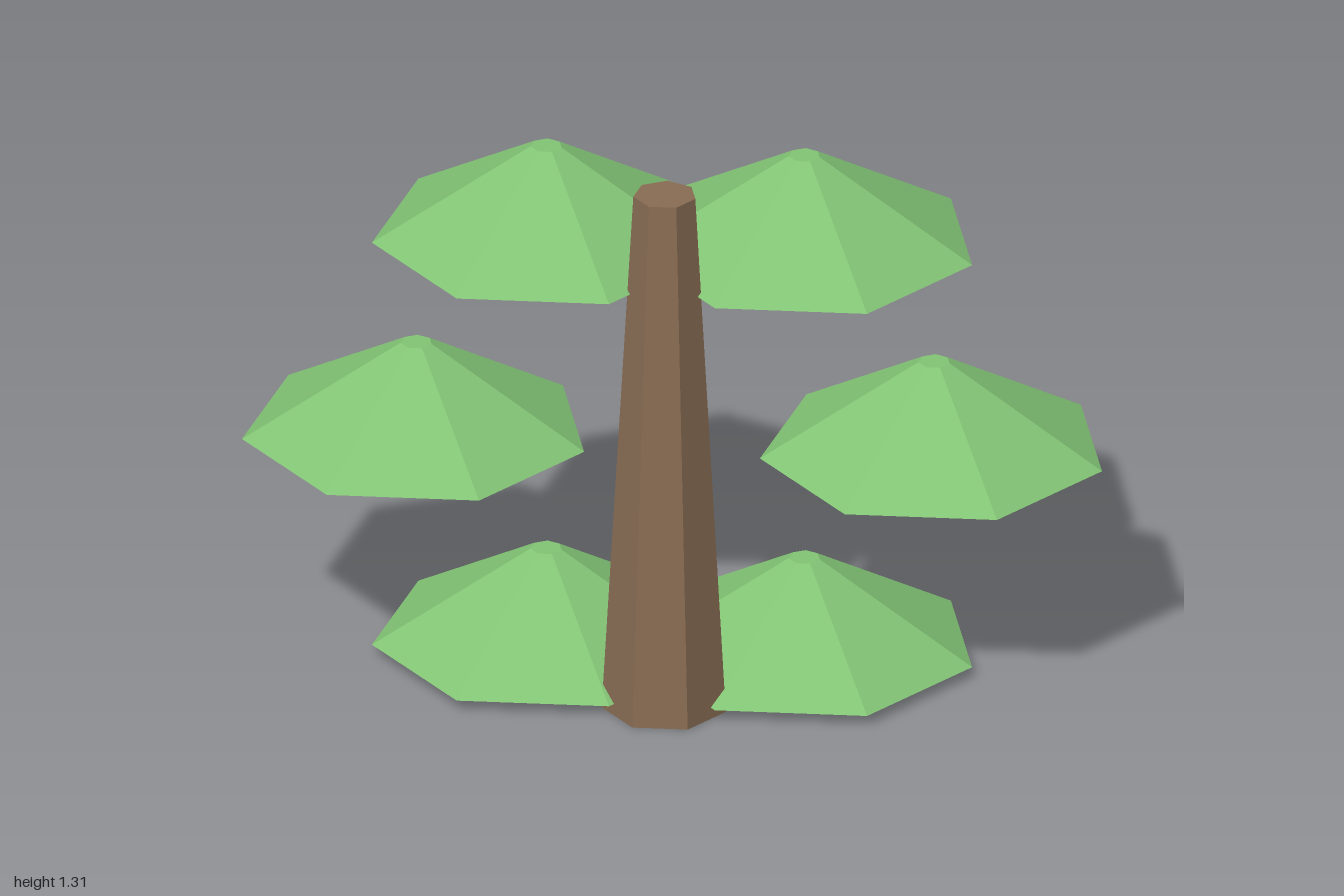
import * as THREE from 'three';

const SIDES = 7;

// Seven-sided tapered solid standing on y, with a corner pointing to the back
function taper(name, topRadius, bottomRadius, height, material, x, y, z) {
  const geometry = new THREE.CylinderGeometry(topRadius, bottomRadius, height, SIDES, 1, false, Math.PI)
    .toNonIndexed();
  geometry.computeVertexNormals(); // faceted look
  const mesh = new THREE.Mesh(geometry, material);
  mesh.name = name;
  mesh.position.set(x, y + height / 2, z);
  return mesh;
}

export function createModel() {
  const bark = new THREE.MeshStandardMaterial({ color: 0x886c53 });
  bark.name = 'bark brown';
  const leaf = new THREE.MeshStandardMaterial({ color: 0x82c475 });
  leaf.name = 'leaf green';

  const tree = new THREE.Group();
  tree.name = 'tree';

  // Trunk, set forward of the foliage
  tree.add(taper('trunk', 0.074, 0.148, 1.312, bark, 0, 0, 0.28));

  // Three tiers of paired foliage cones
  const tiers = [
    { name: 'lower', x: 0.3, y: 0.028 },
    { name: 'middle', x: 0.592, y: 0.546 },
    { name: 'upper', x: 0.3, y: 1.065 },
  ];
  for (const tier of tiers) {
    for (const side of [1, -1]) {
      const name = `${tier.name}Foliage${side > 0 ? 'Left' : 'Right'}`;
      const x = tier.name === 'middle' ? 0.602 : tier.x;
      tree.add(taper(name, 0.037, 0.408, 0.223, leaf, side * x, tier.y, -0.004));
    }
  }
  return tree;
}
